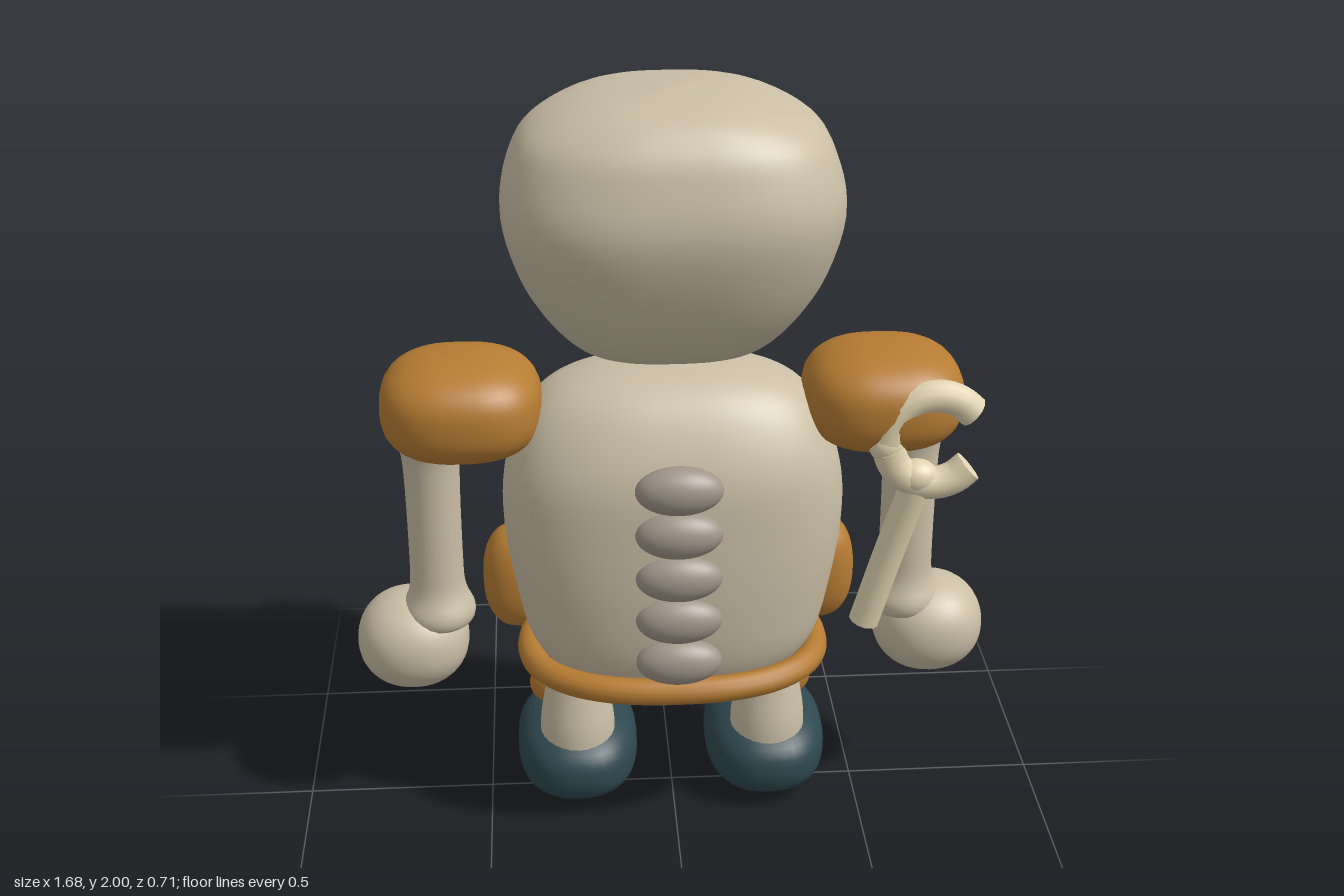
import * as THREE from 'three';
import { mergeVertices } from 'three/addons/utils/BufferGeometryUtils.js';

const mat = (color) => new THREE.MeshStandardMaterial({ color });
const BONE = mat(0xcabea5), CREAM = mat(0xe2d5b2), SHADE = mat(0xa2978a);
const ORANGE = mat(0xb67c33), TEAL = mat(0x2e4850), DARK = mat(0x1c3038);
const V = (x, y, z) => new THREE.Vector3(x, y, z);
const pw = (v, e) => Math.sign(v) * Math.abs(v) ** e;

export function createModel() {
  const root = new THREE.Group();

  const add = (name, geometry, material, x = 0, y = 0, z = 0) => {
    const mesh = new THREE.Mesh(geometry, material);
    mesh.name = name;
    mesh.position.set(x, y, z);
    root.add(mesh);
    return mesh;
  };

  // Join seams so that normals run smoothly all round
  const smooth = (geometry) => {
    geometry.deleteAttribute('uv');
    geometry.deleteAttribute('normal');
    const merged = mergeVertices(geometry, 1e-5);
    merged.computeVertexNormals();
    return merged;
  };

  // Ellipsoid; e below 1 makes it boxier
  const blob = (rx, ry, rz, e = 1) => {
    const g = new THREE.SphereGeometry(1, 36, 24);
    const p = g.attributes.position;
    for (let i = 0; i < p.count; i++) {
      const y = p.getY(i), r = Math.sqrt(Math.max(0, 1 - y * y));
      const a = Math.atan2(p.getZ(i), p.getX(i)), k = r ** e;
      p.setXYZ(i, rx * k * pw(Math.cos(a), e), ry * pw(y, e), rz * k * pw(Math.sin(a), e));
    }
    return smooth(g);
  };

  // Body through cross-sections [y, half width, z min, z max], bottom to top
  const loft = (rows, power, steps = 40, sides = 56) => {
    const curve = (f) => new THREE.CatmullRomCurve3(rows.map(f), false, 'catmullrom', 0.5);
    const width = curve((r) => V(r[1], r[0], 0));
    const depth = curve((r) => V(r[2], r[0], r[3]));
    const pos = [], idx = [];
    for (let i = 0; i <= steps; i++) {
      const w = width.getPoint(i / steps), d = depth.getPoint(i / steps);
      for (let j = 0; j < sides; j++) {
        const a = (j / sides) * Math.PI * 2;
        pos.push(Math.max(0, w.x) * pw(Math.cos(a), 2 / power), w.y,
          (d.x + d.z) / 2 + ((d.z - d.x) / 2) * pw(Math.sin(a), 2 / power));
        if (i === steps) continue;
        const p = i * sides + j, q = i * sides + (j + 1) % sides;
        idx.push(p, p + sides, q, q, p + sides, q + sides);
      }
    }
    const g = new THREE.BufferGeometry();
    g.setAttribute('position', new THREE.Float32BufferAttribute(pos, 3));
    g.setIndex(idx);
    return smooth(g);
  };

  // Tube through points with flat end caps
  const rod = (name, points, r, material) => {
    const path = new THREE.CatmullRomCurve3(points);
    add(name, new THREE.TubeGeometry(path, 24, r, 12), material);
    for (const t of [0, 1]) {
      const cap = add(name + 'End', new THREE.CircleGeometry(r, 12), material);
      cap.position.copy(path.getPoint(t));
      cap.quaternion.setFromUnitVectors(V(0, 0, 1), path.getTangent(t).multiplyScalar(t ? 1 : -1));
    }
  };

  // Skull and jaw
  add('head', loft([
    [1.29, 0, -0.05, -0.05], [1.31, 0.17, -0.2, 0.09], [1.37, 0.27, -0.255, 0.2],
    [1.52, 0.37, -0.27, 0.29], [1.7, 0.42, -0.28, 0.34], [1.84, 0.395, -0.275, 0.315],
    [1.92, 0.335, -0.25, 0.275], [1.975, 0.2, -0.2, 0.2], [2.0, 0, 0.03, 0.03],
  ], 2.7), BONE);
  const jaw = add('jaw', blob(0.25, 0.05, 0.145, 0.85), BONE, 0, 1.342, -0.185);
  jaw.rotation.x = 0.1;

  // Torso, belt and spine
  add('torso', loft([
    [0.375, 0, 0.03, 0.03], [0.42, 0.24, -0.14, 0.2], [0.52, 0.365, -0.215, 0.275],
    [0.7, 0.415, -0.235, 0.3], [0.9, 0.44, -0.235, 0.3], [1.06, 0.42, -0.215, 0.285],
    [1.2, 0.35, -0.165, 0.22], [1.27, 0.22, -0.1, 0.14], [1.3, 0, 0.02, 0.02],
  ], 2.6), BONE);
  const beltPoints = Array.from({ length: 24 }, (_, i) => {
    const a = (i / 24) * Math.PI * 2;
    return V(0.38 * pw(Math.cos(a), 0.85), 0.475, 0.035 + 0.26 * pw(Math.sin(a), 0.85));
  });
  add('belt', new THREE.TubeGeometry(new THREE.CatmullRomCurve3(beltPoints, true), 72, 0.035, 12, true), ORANGE);
  for (let i = 0; i < 5; i++) add('vertebra', blob(0.11, 0.063, 0.055), SHADE, 0, 0.568 + i * 0.122, 0.297);

  // Breastbone and sagging ribs
  rod('breastbone', [V(0, 0.64, -0.27), V(0, 0.87, -0.27), V(0, 1.1, -0.27)], 0.025, SHADE);
  for (const y of [0.65, 0.82, 0.99]) {
    rod('rib', [V(-0.3, y + 0.07, -0.2), V(-0.16, y + 0.02, -0.25), V(0, y, -0.265),
      V(0.16, y + 0.02, -0.25), V(0.3, y + 0.07, -0.2)], 0.03, CREAM);
  }

  // Arm bone profile with a knob at each end
  const armProfile = [[0, 0.55], [0.08, 0.56], [0.097, 0.6], [0.075, 0.66], [0.07, 0.75],
    [0.073, 1.02], [0.09, 1.1], [0.1, 1.16], [0, 1.22]].map(([r, y]) => new THREE.Vector2(r, y));
  const armCurve = new THREE.SplineCurve(armProfile).getPoints(32)
    .map((p) => new THREE.Vector2(Math.max(0, p.x), p.y));

  for (const s of [1, -1]) {
    // Arms
    add('shoulderPad', blob(0.205, 0.132, 0.195, 0.78), ORANGE, s * 0.535, 1.197, 0.045);
    add('arm', new THREE.LatheGeometry(armCurve, 28), BONE, s * 0.62, 0, 0.03);
    add('hand', blob(0.148, 0.132, 0.146, 0.93), BONE, s * 0.692, 0.5, 0.01);
    for (const x of [-0.045, 0.045]) add('knuckle', blob(0.007, 0.013, 0.007), DARK, s * 0.69 + x, 0.53, -0.122);

    // Legs
    add('hipPad', blob(0.095, 0.152, 0.082, 0.85), ORANGE, s * 0.41, 0.605, -0.12);
    add('leg', loft([[0.14, 0.1, -0.07, 0.14], [0.24, 0.1, -0.06, 0.135],
      [0.34, 0.085, -0.045, 0.115], [0.47, 0.06, -0.02, 0.09]], 2, 12, 28), BONE, s * 0.26, 0, 0);
    add('kneePad', blob(0.128, 0.076, 0.055, 0.9), ORANGE, s * 0.26, 0.293, -0.063);
    add('foot', blob(0.165, 0.117, 0.228, 0.82), TEAL, s * 0.26, 0.118, -0.05);

    // Eyes
    add('eyeSocket', blob(0.1, 0.165, 0.03), SHADE, s * 0.185, 1.675, -0.275);
    const rim = add('eyeRim', new THREE.TorusGeometry(0.08, 0.017, 10, 40), BONE, s * 0.185, 1.675, -0.291);
    rim.scale.y = 1.68;
    add('eye', blob(0.075, 0.12, 0.04), CREAM, s * 0.185, 1.675, -0.292);
    add('pupil', blob(0.05, 0.085, 0.03), DARK, s * 0.185, 1.665, -0.322);
    add('eyeGlint', blob(0.012, 0.018, 0.008), CREAM, s * 0.185 + 0.012, 1.698, -0.346);
    rod('brow', [V(s * 0.1, 1.84, -0.285), V(s * 0.18, 1.865, -0.285), V(s * 0.255, 1.835, -0.27)], 0.017, SHADE);

    // Teeth
    add('cornerTooth', blob(0.023, 0.043, 0.023), CREAM, s * 0.11, 1.38, -0.316);
    add('tooth', blob(0.019, 0.026, 0.018), CREAM, s * 0.05, 1.383, -0.333);
  }

  // Nose and mouth
  add('nose', blob(0.035, 0.048, 0.025), SHADE, 0, 1.575, -0.283);
  const mouth = add('mouth', blob(0.12, 0.027, 0.05), DARK, 0, 1.372, -0.297);
  mouth.scale.y = 0.95;

  // Wrench hung at the back: handle, collar and open jaws
  rod('wrenchHandle', [V(0.495, 0.59, 0.16), V(0.55, 0.8, 0.175), V(0.605, 1.0, 0.195)], 0.04, CREAM);
  const arc = (cx, cy, r, from, to) => Array.from({ length: 7 }, (_, i) => {
    const a = THREE.MathUtils.degToRad(from + (to - from) * i / 6);
    return V(cx + r * Math.cos(a), cy + r * Math.sin(a), 0.2);
  });
  rod('wrenchUpperJaw', arc(0.645, 1.13, 0.12, 38, 178), 0.042, CREAM);
  rod('wrenchLowerJaw', arc(0.645, 1.125, 0.115, 188, 322), 0.042, CREAM);
  add('wrenchJoint', blob(0.045, 0.045, 0.04), CREAM, 0.525, 1.12, 0.2);
  add('wrenchCollar', blob(0.055, 0.045, 0.045), CREAM, 0.605, 1.03, 0.2);

  return root;
}
